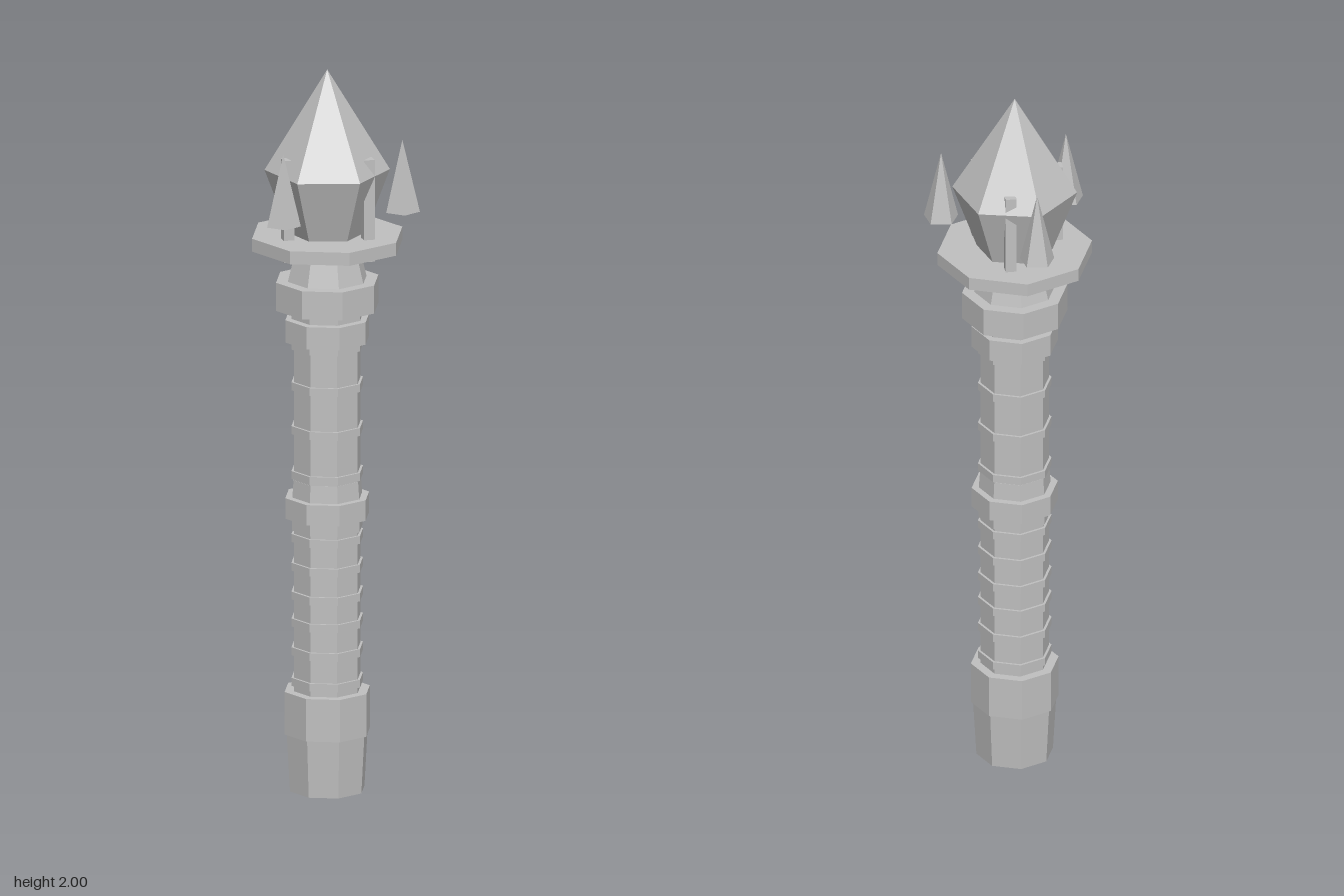
import * as THREE from 'three';

export function createModel() {
  const model = new THREE.Group();
  model.name = 'tower';
  const stone = new THREE.MeshStandardMaterial({ color: 0xc0c0c0, flatShading: true });
  stone.name = 'grey stone';

  // Everything but the spikes shares this slightly offset axis
  const AX = -0.012, AZ = -0.016;

  // Vertical prism, frustum or cone between two heights
  function prism(name, sides, y0, y1, r0, r1, x = AX, z = AZ, turn = 0) {
    const mesh = new THREE.Mesh(new THREE.CylinderGeometry(r1, r0, y1 - y0, sides), stone);
    mesh.name = name;
    mesh.position.set(x, (y0 + y1) / 2, z);
    mesh.rotation.y = turn;
    model.add(mesh);
  }

  // Foot, bands and collar
  prism('foot', 8, 0, 0.16, 0.104, 0.113);
  prism('baseBand', 8, 0.16, 0.278, 0.119, 0.119);
  prism('middleBand', 8, 0.76, 0.817, 0.117, 0.117);
  prism('upperBand', 8, 1.25, 1.312, 0.117, 0.117);
  prism('collar', 8, 1.34, 1.418, 0.143, 0.143);

  // Shaft with thin stone courses
  prism('shaft', 8, 0.27, 1.35, 0.093, 0.093);
  for (const y of [0.305, 0.39, 0.47, 0.545, 0.625, 0.705, 0.88, 1.005, 1.127, 1.24, 1.325]) {
    prism('course', 8, y - 0.011, y + 0.011, 0.1, 0.1);
  }
  prism('middleBandFoot', 8, 0.725, 0.765, 0.098, 0.098);
  prism('middleBandCap', 8, 0.81, 0.865, 0.098, 0.094);

  // Neck and gallery plate
  prism('neck', 8, 1.41, 1.52, 0.112, 0.084);
  prism('gallery', 8, 1.51, 1.546, 0.21, 0.21);

  // Six-sided lantern and roof
  prism('lantern', 6, 1.54, 1.722, 0.1, 0.168);
  prism('roof', 6, 1.722, 2, 0.168, 0);

  // Three posts running through gallery and eaves
  for (let i = 0; i < 3; i++) {
    const a = (i * Math.PI * 2) / 3;
    prism('post', 4, 1.485, 1.768, 0.021, 0.021, AX + 0.124 * Math.cos(a), AZ + 0.124 * Math.sin(a));
  }

  // Floating five-sided spikes
  for (const [x, z] of [[-0.173, -0.138], [0.174, -0.095], [-0.037, 0.185]]) {
    prism('spike', 5, 1.612, 1.81, 0.048, 0, x, z, Math.PI);
  }
  return model;
}
